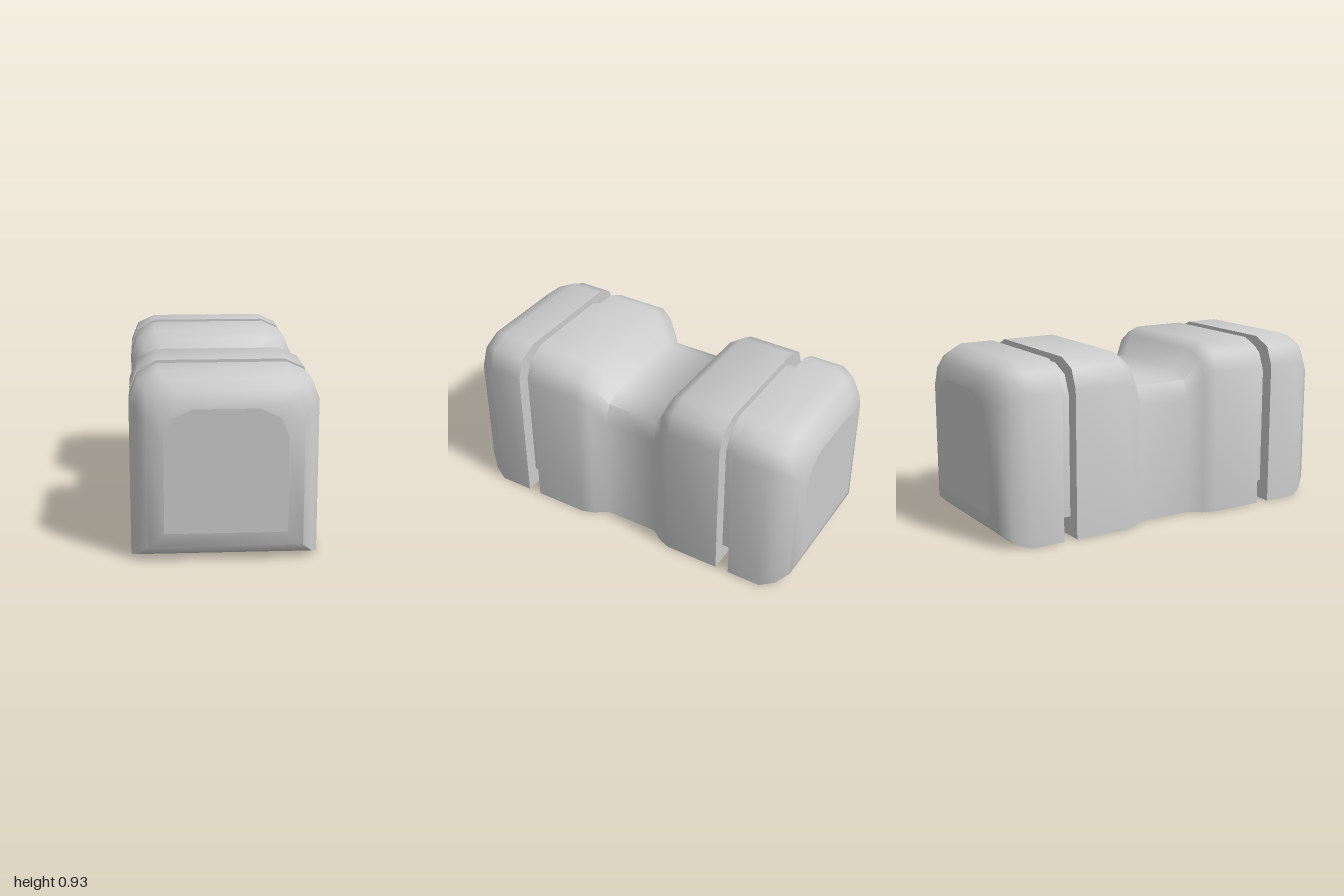
import * as THREE from 'three';
import { mergeGeometries, toCreasedNormals } from 'three/addons/utils/BufferGeometryUtils.js';

// Cross-section with a square base and chamfered upper corners, counter-clockwise from +z
function section(halfWidth, bottom, top) {
  const right = [
    [halfWidth, bottom],
    [halfWidth, top - 0.145],
    [halfWidth - 0.04, top - 0.045],
    [halfWidth - 0.14, top],
  ];
  const left = right.map(([x, y]) => [-x, y]).reverse();
  return [...right, ...left];
}

function flatGeometry(positions) {
  const g = new THREE.BufferGeometry();
  g.setAttribute('position', new THREE.Float32BufferAttribute(positions, 3));
  return g;
}

// Loft through stations [z, halfWidth, bottom, top], ordered back to front, with flat caps
function loft(stations) {
  const rings = stations.map(([z, w, b, t]) =>
    section(w, b, t).map(([x, y]) => [x, y, z]));
  const n = rings[0].length;
  const skin = [];
  const caps = [];
  for (let i = 0; i < rings.length - 1; i++) {
    for (let j = 0; j < n; j++) {
      const k = (j + 1) % n;
      const a = rings[i][j], b = rings[i][k];
      const c = rings[i + 1][k], d = rings[i + 1][j];
      skin.push(...a, ...b, ...c, ...a, ...c, ...d);
    }
  }
  const back = rings[0], front = rings[rings.length - 1];
  for (let j = 1; j < n - 1; j++) {
    caps.push(...front[0], ...front[j], ...front[j + 1]);
    caps.push(...back[0], ...back[j + 1], ...back[j]);
  }
  const skinGeometry = flatGeometry(skin);
  skinGeometry.computeVertexNormals();
  const capGeometry = flatGeometry(caps);
  capGeometry.computeVertexNormals();
  return mergeGeometries([toCreasedNormals(skinGeometry, 1.1), capGeometry]);
}

// The same stations turned end for end
const flip = (stations) => stations.map(([z, ...rest]) => [-z, ...rest]).reverse();

export function createModel() {
  const group = new THREE.Group();
  const material = new THREE.MeshStandardMaterial({ color: 0xcccccc });
  const add = (name, stations) => {
    const mesh = new THREE.Mesh(loft(stations), material);
    mesh.name = name;
    group.add(mesh);
  };

  const W = 0.463, H = 0.927;

  // Middle block with a narrowed, lowered waist
  const half = [
    [0.15, 0.39, 0, 0.78],
    [0.22, 0.44, 0, 0.887],
    [0.285, W, 0, H],
    [0.583, W, 0, H],
  ];
  add('middleBlock', [...flip(half), ...half]);

  // Rounded end blocks, each joined to the middle by a recessed neck
  const end = [
    [0.658, W, 0, H],
    [0.845, W, 0, H],
    [0.92, W - 0.035, 0.025, H - 0.025],
    [0.98, W - 0.085, 0.08, H - 0.075],
    [1, W - 0.163, 0.155, H - 0.155],
  ];
  const neck = [
    [0.57, 0.393, 0.105, 0.887],
    [0.67, 0.393, 0.105, 0.887],
  ];
  add('frontBlock', end);
  add('backBlock', flip(end));
  add('frontNeck', neck);
  add('backNeck', flip(neck));

  return group;
}
